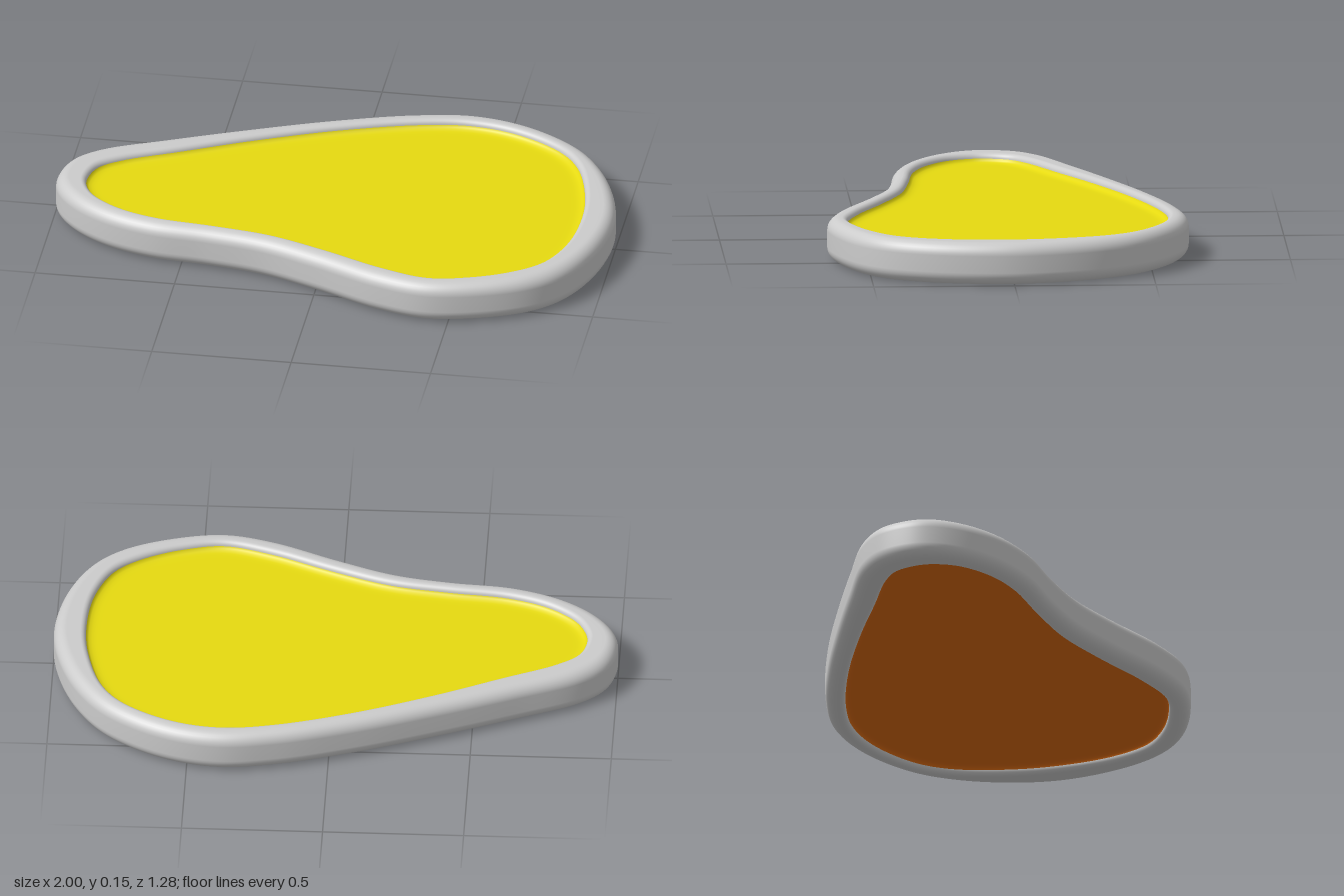
import * as THREE from 'three';

const H = 0.15; // tray height
const N = 208;  // points around the outline

// Outer and inner edge of the rim as matching x, z pairs
const OUTER = [-1, 0.02, -0.97, -0.1, -0.88, -0.19, -0.65, -0.3, -0.4, -0.41, -0.1, -0.53, 0.18, -0.617,
  0.39, -0.645, 0.59, -0.6, 0.79, -0.475, 0.9, -0.33, 0.975, -0.14, 1, 0.04, 0.965, 0.26, 0.885, 0.43,
  0.78, 0.53, 0.61, 0.605, 0.42, 0.638, 0.24, 0.598, 0, 0.492, -0.2, 0.415, -0.4, 0.378, -0.61, 0.355,
  -0.78, 0.297, -0.905, 0.21, -0.98, 0.11];
const INNER = [-0.89, 0.03, -0.865, -0.06, -0.79, -0.125, -0.6, -0.22, -0.37, -0.335, -0.08, -0.46, 0.2, -0.548,
  0.38, -0.572, 0.55, -0.54, 0.725, -0.44, 0.81, -0.33, 0.868, -0.14, 0.885, 0.03, 0.865, 0.235, 0.8, 0.39,
  0.7, 0.475, 0.56, 0.538, 0.42, 0.565, 0.25, 0.52, 0.03, 0.425, -0.18, 0.348, -0.39, 0.313, -0.6, 0.287,
  -0.74, 0.237, -0.84, 0.16, -0.88, 0.09];

// Smooth closed outline with inward normals
function outline(flat) {
  const pts = [];
  for (let i = 0; i < flat.length; i += 2) pts.push(new THREE.Vector3(flat[i], 0, flat[i + 1]));
  const curve = new THREE.CatmullRomCurve3(pts, true);
  return Array.from({ length: N }, (_, i) => {
    const p = curve.getPoint(i / N), t = curve.getTangent(i / N);
    return { x: p.x, z: p.z, nx: -t.z, nz: t.x };
  });
}

// One ring of points: an outline moved inward by d, at height y
const ring = (line, d, y) => line.map(p => [p.x + p.nx * d, y, p.z + p.nz * d]);

// Skin closed rings in order
function loft(rings) {
  const index = [];
  for (let i = 0; i < rings.length - 1; i++) {
    for (let j = 0; j < N; j++) {
      const k = (j + 1) % N;
      const a = i * N + j, b = a + N, c = i * N + k, d = c + N;
      index.push(a, b, c, c, b, d);
    }
  }
  const geo = new THREE.BufferGeometry();
  geo.setAttribute('position', new THREE.Float32BufferAttribute(rings.flat(2), 3));
  geo.setIndex(index);
  geo.computeVertexNormals();
  return geo;
}

export function createModel() {
  const group = new THREE.Group();
  const outer = outline(OUTER), inner = outline(INNER);
  const add = (name, geo, color) => {
    const mesh = new THREE.Mesh(geo, new THREE.MeshStandardMaterial({ color }));
    mesh.name = name;
    group.add(mesh);
  };

  // Rim: rounded inner lip, then rounded outer corner, mirrored for the underside
  const R = 0.045, r = 0.02, steps = 8;
  const top = [];
  for (let i = 0; i <= steps; i++) {
    const a = (i / steps) * Math.PI / 2;
    top.push([outer, R * (1 - Math.cos(a)), H - R + R * Math.sin(a)]);
  }
  for (let i = 0; i <= steps; i++) {
    const a = (i / steps) * Math.PI / 2;
    top.push([inner, -r * (1 - Math.sin(a)), H - r + r * Math.cos(a)]);
  }
  const bottom = top.map(([line, d, y]) => [line, d, H - y]).reverse();
  add('rim', loft([...bottom, ...top].map(p => ring(...p))), 0xcccccc);

  // Shallow panels with a small fillet where they meet the rim
  const panel = [[0, 0.131], [0.003, 0.124], [0.01, 0.119], [0.022, 0.116], [0.035, 0.115], [0.05, 0.115]];
  const panelRings = flip => {
    const rings = panel.map(([d, y]) => ring(inner, d, flip ? H - y : y));
    const last = rings[rings.length - 1];
    for (const s of [0.5, 0]) rings.push(last.map(([x, y, z]) => [0.1 + (x - 0.1) * s, y, z * s]));
    return flip ? rings.reverse() : rings;
  };
  add('topPanel', loft(panelRings(false)), 0xe6da10);
  add('bottomPanel', loft(panelRings(true)), 0xd9690f);

  return group;
}
